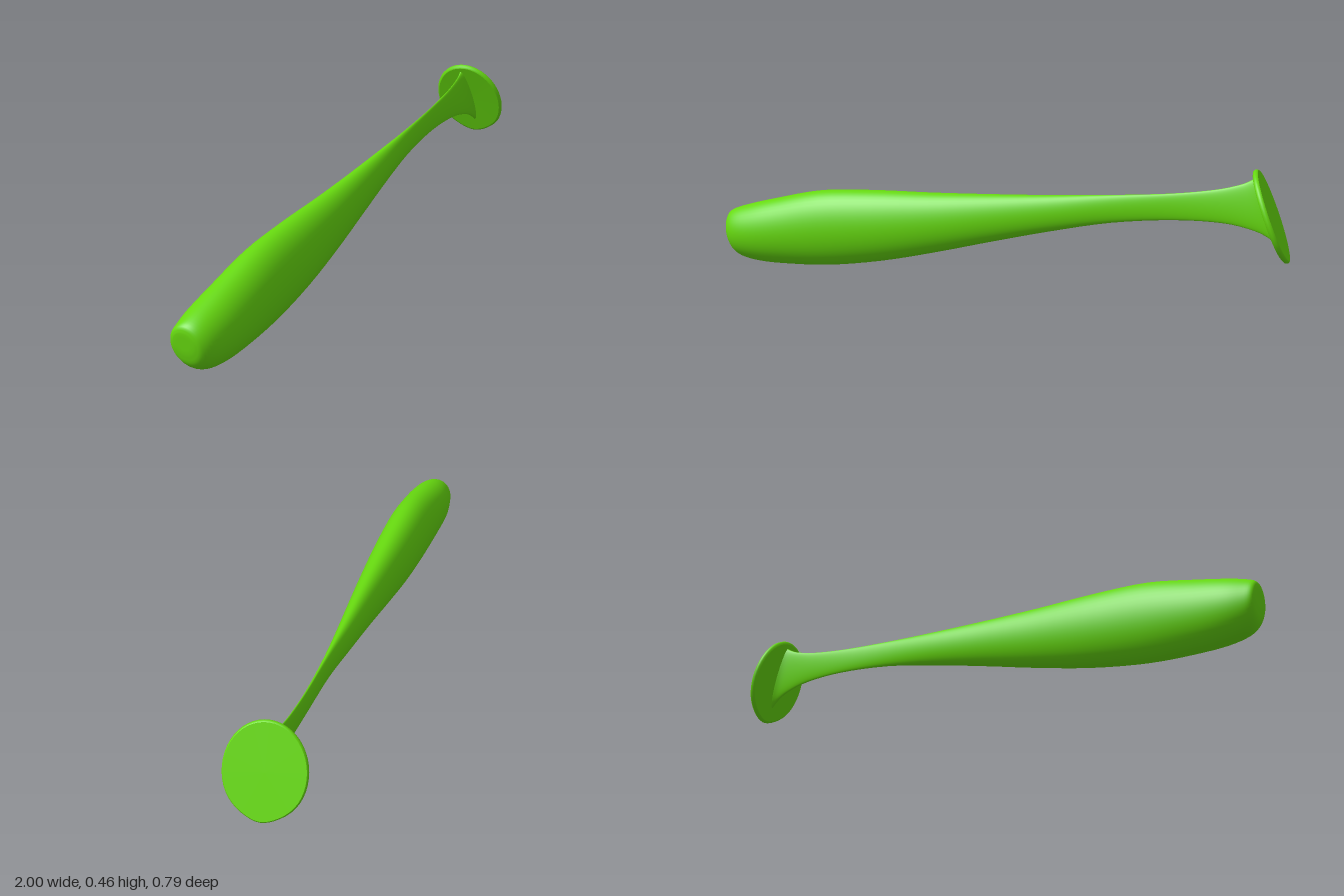
import * as THREE from 'three';

const SIDES = 48;
const material = new THREE.MeshStandardMaterial({ color: 0x66d90f });

// Skin a list of closed rings running towards +x.
function loft(name, rings) {
  const pos = [], index = [];
  rings.forEach(ring => ring.forEach(p => pos.push(p.x, p.y, p.z)));
  for (let r = 0; r < rings.length - 1; r++) {
    for (let i = 0; i < SIDES; i++) {
      const a = r * SIDES + i, b = r * SIDES + (i + 1) % SIDES;
      index.push(a, a + SIDES, b, b, a + SIDES, b + SIDES);
    }
  }
  const geo = new THREE.BufferGeometry();
  geo.setAttribute('position', new THREE.Float32BufferAttribute(pos, 3));
  geo.setIndex(index);
  geo.computeVertexNormals();
  const mesh = new THREE.Mesh(geo, material);
  mesh.name = name;
  return mesh;
}

const ring = fn => Array.from({ length: SIDES }, (_, i) => fn(i / SIDES * Math.PI * 2));

// Body stations: centre x, top y, bottom y, centre z, half width
const STATIONS = [
  [-0.982, 0.155, 0.085, 0.330, 0.035],
  [-0.972, 0.177, 0.045, 0.331, 0.054],
  [-0.94, 0.194, 0.018, 0.328, 0.068],
  [-0.88, 0.214, 0.004, 0.312, 0.078],
  [-0.78, 0.242, 0.001, 0.284, 0.081],
  [-0.6, 0.285, 0.011, 0.228, 0.080],
  [-0.4, 0.300, 0.044, 0.163, 0.073],
  [-0.2, 0.306, 0.093, 0.097, 0.060],
  [0, 0.315, 0.148, 0.028, 0.045],
  [0.2, 0.326, 0.200, -0.043, 0.030],
  [0.4, 0.341, 0.245, -0.112, 0.015],
  [0.6, 0.360, 0.270, -0.180, 0.009],
  [0.75, 0.383, 0.274, -0.225, 0.009],
  [0.84, 0.405, 0.258, -0.250, 0.010],
  [0.885, 0.422, 0.235, -0.261, 0.013],
  [0.915, 0.437, 0.205, -0.268, 0.020],
];

// Tapering handle-like body: broad rounded end, thin flared neck
function body() {
  const centre = new THREE.CatmullRomCurve3(
    STATIONS.map(s => new THREE.Vector3(s[0], (s[1] + s[2]) / 2, s[3])), false, 'catmullrom');
  const size = new THREE.CatmullRomCurve3(
    STATIONS.map(s => new THREE.Vector3((s[1] - s[2]) / 2, s[4], 0)), false, 'catmullrom');
  const section = (t, scale) => {
    const c = centre.getPoint(t), s = size.getPoint(t);
    // sections lean with the axis, then turn to meet the end disc
    const k = THREE.MathUtils.smoothstep(c.x, 0.5, 0.9);
    const p = THREE.MathUtils.lerp(-0.1, -0.43, k);
    const q = THREE.MathUtils.lerp(0.33, 0.39, k);
    return ring(a => {
      const dy = Math.sin(a) * s.x * scale, dz = Math.cos(a) * s.y * scale;
      return new THREE.Vector3(c.x + p * dy + q * dz, c.y + dy, c.z + dz);
    });
  };
  const rings = [section(0, 0), section(0, 0.6)];
  const steps = 60;
  for (let i = 0; i <= steps; i++) rings.push(section(i / steps, 1));
  rings.push(section(1, 0));
  return loft('body', rings);
}

// Thin tilted oval disc, slightly pointed at the bottom
function endDisc() {
  const centre = new THREE.Vector3(0.922, 0.31, -0.269);
  const normal = new THREE.Vector3(1, 0.43, -0.39).normalize();
  const outline = (scale, offset) => ring(a => {
    const s = Math.sin(a);
    const dy = 0.152 * s * scale;
    const pinch = 1 - 0.25 * Math.max(0, -s) ** 6;
    const dz = (0.125 * Math.cos(a) * pinch + 0.018 * s) * scale;
    return new THREE.Vector3(-0.43 * dy + 0.39 * dz, dy, dz)
      .add(centre).addScaledVector(normal, offset);
  });
  return loft('endDisc', [
    outline(0, -0.008), outline(0.94, -0.01), outline(0.94, -0.01),
    outline(0.98, -0.007), outline(1, 0), outline(0.99, 0.006),
    outline(0.965, 0.009), outline(0.965, 0.009), outline(0, 0.009),
  ]);
}

export function createModel() {
  const group = new THREE.Group();
  group.name = 'taperedHandle';
  group.add(body(), endDisc());
  return group;
}
